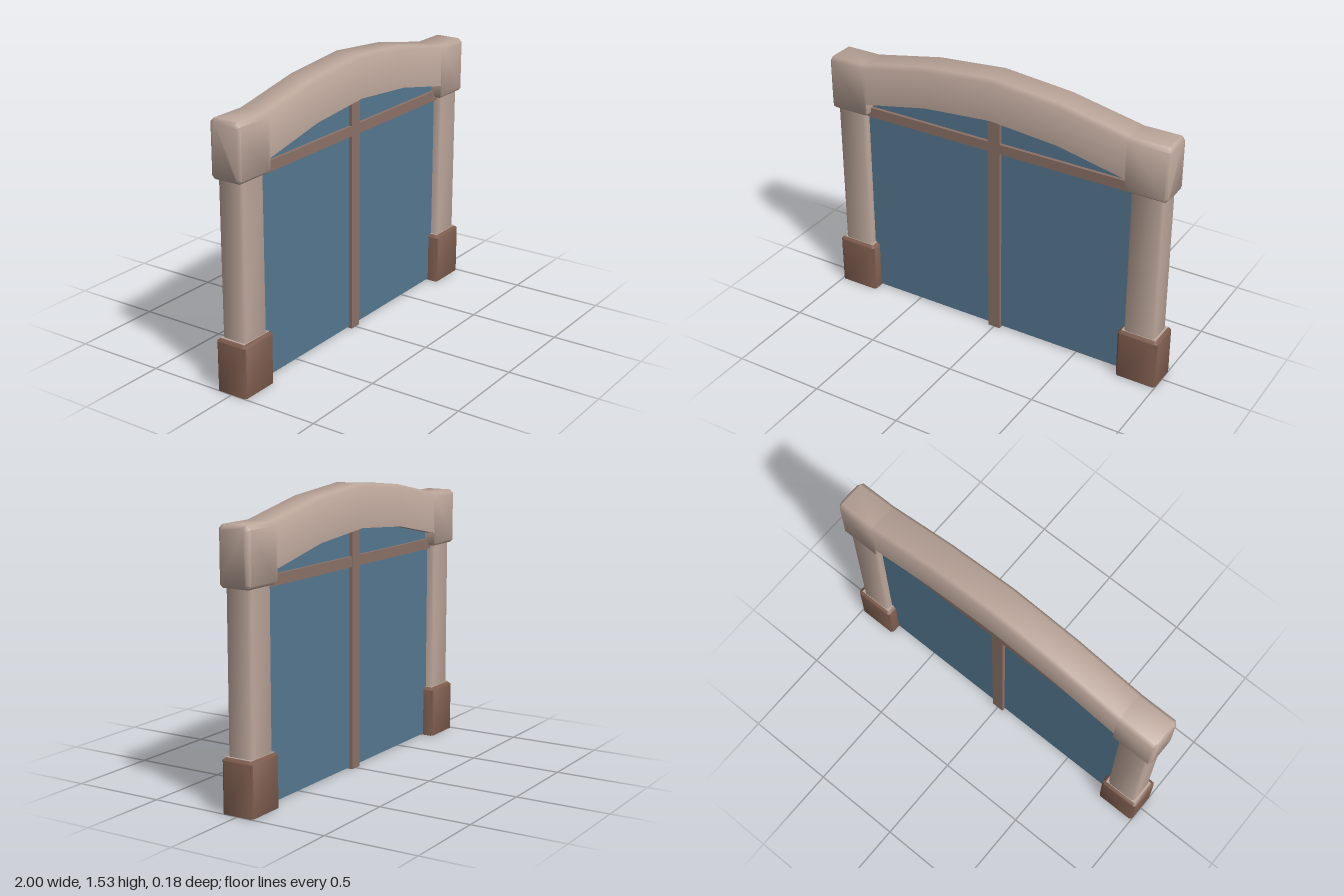
import * as THREE from 'three';
import { toCreasedNormals } from 'three/addons/utils/BufferGeometryUtils.js';

const mat = (name, color, extra) => {
  const m = new THREE.MeshStandardMaterial({ color });
  m.name = name;
  return m;
};

// Chamfered rectangle, u from u0 to u1 and v from -v to v; b0, b1 are the chamfers at u0 and u1
const ring = (u0, u1, v, b0, b1) => [
  [u1, -v + b1], [u1, v - b1], [u1 - b1, v], [u0 + b0, v],
  [u0, v - b0], [u0, -v + b0], [u0 + b0, -v], [u1 - b1, -v],
];

// Skin a list of { t, pts } rings; place(t, u, v) gives the 3D point
function loft(rings, place) {
  const pos = [], idx = [], n = 8, last = (rings.length - 1) * n;
  rings.forEach(({ t, pts }) => pts.forEach(([u, v]) => pos.push(...place(t, u, v))));
  for (let i = 0; i < rings.length - 1; i++) {
    for (let j = 0; j < n; j++) {
      const a = i * n + j, b = i * n + (j + 1) % n;
      idx.push(a, b, b + n, a, b + n, a + n);
    }
  }
  for (let j = 1; j < n - 1; j++) {
    idx.push(0, j + 1, j, last, last + j, last + j + 1);
  }
  const g = new THREE.BufferGeometry();
  g.setAttribute('position', new THREE.Float32BufferAttribute(pos, 3));
  g.setIndex(idx);
  return toCreasedNormals(g, THREE.MathUtils.degToRad(55));
}

// Upright block with chamfered edges; levels are [y, inset]
const upright = (hx, hz, b, levels) => loft(
  levels.map(([y, s]) => ({ t: y, pts: ring(-hz + s, hz - s, hx - s, b, b) })),
  (t, u, v) => [v, t, u],
);

export function createModel() {
  const group = new THREE.Group();
  group.name = 'archedWindow';
  const stone = mat('paleStone', 0xbca69a);
  const brown = mat('brownStone', 0x7b5a4c);
  const frame = mat('frameWood', 0x8c7268);
  const glass = mat('blueGlass', 0x557890);
  const add = (name, geo, material, x = 0, y = 0, z = 0) => {
    const m = new THREE.Mesh(geo, material);
    m.name = name;
    m.position.set(x, y, z);
    group.add(m);
  };

  // Arched lintel with dropped end blocks: [x, bottom, top, half depth, bottom chamfer, top chamfer]
  const half = [
    [-1, 1.125, 1.398, 0.075, 0.012, 0.016],
    [-0.985, 1.11, 1.412, 0.09, 0.015, 0.02],
    [-0.785, 1.11, 1.412, 0.09, 0.015, 0.02],
    [-0.77, 1.125, 1.415, 0.09, 0.005, 0.02],
    [-0.77, 1.185, 1.415, 0.09, 0, 0.02],
    [-0.39, 1.263, 1.491, 0.09, 0, 0.02],
  ];
  const mirrored = half.map(([x, ...r]) => [-x, ...r]).reverse();
  const stations = [...half, [0, 1.296, 1.526, 0.09, 0, 0.02], ...mirrored];
  add('archLintel', loft(
    stations.map(([t, y0, y1, v, b0, b1]) => ({ t, pts: ring(y0, y1, v, b0, b1) })),
    (t, u, v) => [t, u, v],
  ), stone);

  // Posts on their base blocks
  for (const [side, s] of [['left', 1], ['right', -1]]) {
    add(side + 'Post', upright(0.087, 0.071, 0.012, [[0.27, 0], [1.13, 0]]), stone, s * 0.884);
    add(side + 'Base', upright(0.115, 0.09, 0.012,
      [[0, 0], [0.27, 0], [0.283, 0.014]]), brown, s * 0.885);
    add(side + 'BaseTop', new THREE.BoxGeometry(0.196, 0.004, 0.148), stone, s * 0.885, 0.283);
  }

  // Glass pane filling the opening, its top edge hidden in the lintel
  const pane = new THREE.Shape([
    [-0.82, 0.008], [0.82, 0.008], [0.82, 1.2], [0.39, 1.29],
    [0, 1.33], [-0.39, 1.29], [-0.82, 1.2],
  ].map(([x, y]) => new THREE.Vector2(x, y)));
  add('glassPane', new THREE.ExtrudeGeometry(pane, { depth: 0.06, bevelEnabled: false }), glass, 0, 0, -0.03);

  // Glazing bars
  add('mullion', new THREE.BoxGeometry(0.07, 1.32, 0.1), frame, 0, 0.66);
  add('transom', new THREE.BoxGeometry(1.6, 0.056, 0.096), frame, 0, 1.121);
  return group;
}
